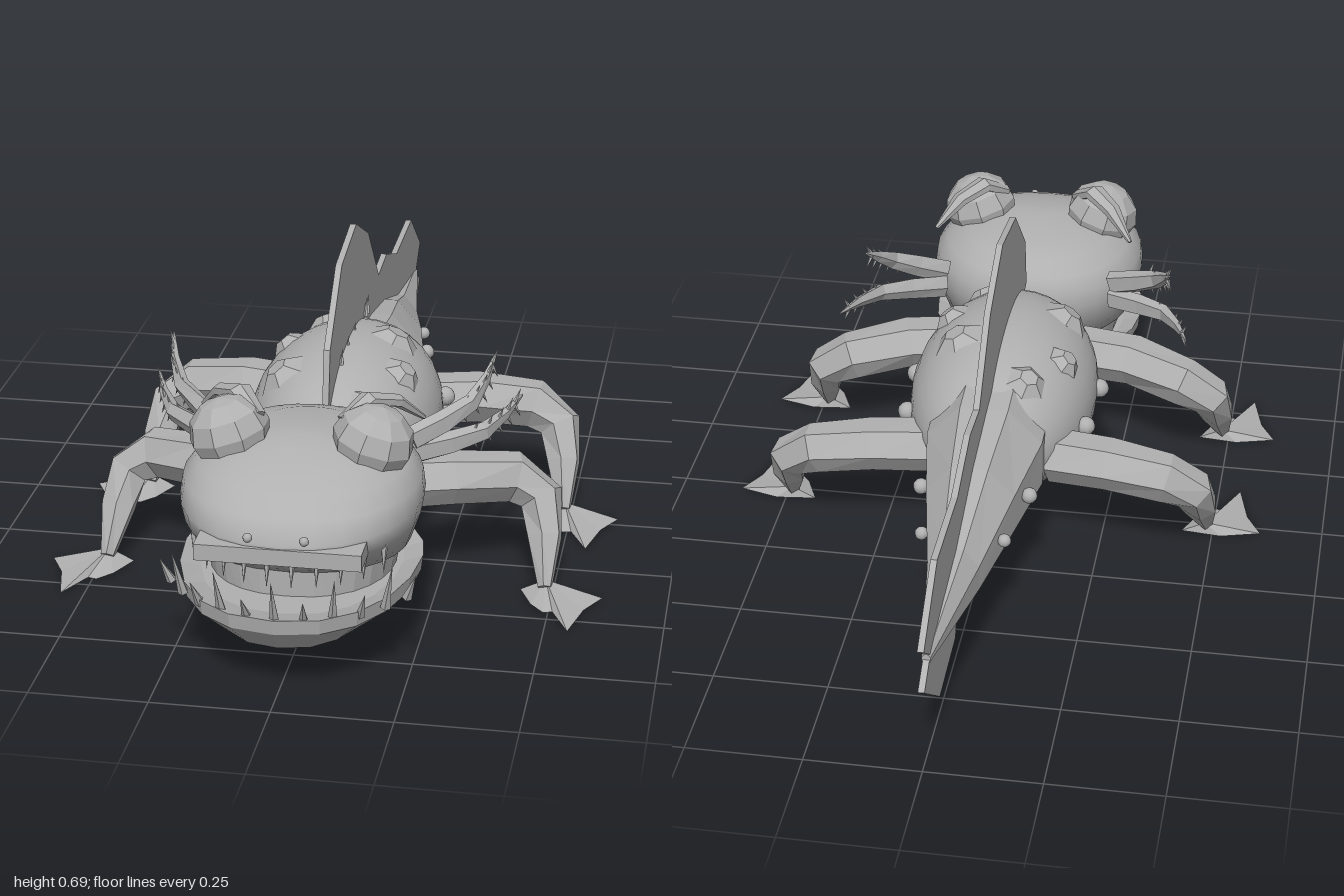
import * as THREE from 'three';

const V = (x, y, z) => new THREE.Vector3(x, y, z);

// Skin a list of rings; flat gives faceted shading
function loft(rings, flat) {
  const n = rings[0].length, pos = [], idx = [];
  const mid = r => r.reduce((s, p) => s.add(p), V(0, 0, 0)).divideScalar(n);
  rings.forEach(r => r.forEach(p => pos.push(p.x, p.y, p.z)));
  for (let i = 0; i < rings.length - 1; i++) for (let j = 0; j < n; j++) {
    const a = i * n + j, b = i * n + (j + 1) % n;
    idx.push(a, b, a + n, b, b + n, a + n);
  }
  const last = (rings.length - 1) * n, c = rings.length * n;
  [mid(rings[0]), mid(rings[rings.length - 1])].forEach(p => pos.push(p.x, p.y, p.z));
  for (let j = 0; j < n; j++) {
    const k = (j + 1) % n;
    idx.push(c, k, j, c + 1, last + j, last + k);
  }
  let g = new THREE.BufferGeometry();
  g.setAttribute('position', new THREE.Float32BufferAttribute(pos, 3));
  g.setIndex(idx);
  if (flat) g = g.toNonIndexed();
  g.computeVertexNormals();
  return g;
}

// Tapered faceted limb along points, radii given as [u, v] pairs
function limb(pts, radii, ref, sides = 6) {
  return loft(pts.map((p, i) => {
    const t = pts[Math.min(i + 1, pts.length - 1)].clone().sub(pts[Math.max(i - 1, 0)]).normalize();
    const u = V(0, 0, 0).crossVectors(t, ref).normalize(), v = V(0, 0, 0).crossVectors(t, u);
    return Array.from({ length: sides }, (_, j) => {
      const a = (j + 0.5) / sides * Math.PI * 2;
      return p.clone().addScaledVector(u, Math.cos(a) * radii[i][0]).addScaledVector(v, Math.sin(a) * radii[i][1]);
    });
  }), true);
}

// Rounded plan outline at height y: half width, front z, back z
function outline([y, w, front, back], n = 28) {
  const mid = 0.62;
  return Array.from({ length: n }, (_, j) => {
    const a = -j / n * Math.PI * 2, c = Math.cos(a), s = Math.sin(a);
    const x = Math.sign(c) * Math.pow(Math.abs(c), 0.85) * w;
    return V(x, y, mid + s * (s > 0 ? front - mid : mid - back));
  });
}

export function createModel() {
  const root = new THREE.Group();
  const skin = new THREE.MeshStandardMaterial({ color: 0xb0b0b0, side: THREE.DoubleSide });
  skin.name = 'grey skin';
  const add = (name, geo) => {
    const m = new THREE.Mesh(geo, skin);
    m.name = name;
    root.add(m);
    return m;
  };
  const faceted = g => {
    g = g.toNonIndexed();
    g.computeVertexNormals();
    return g;
  };
  const spike = (name, base, tip, r) => {
    const d = tip.clone().sub(base), len = d.length();
    const m = add(name, faceted(new THREE.ConeGeometry(r, len, 5)));
    m.position.copy(base).addScaledVector(d, 0.5);
    m.quaternion.setFromUnitVectors(V(0, 1, 0), d.normalize());
  };

  // Trunk: a blunt-ended barrel, and the tail
  const profile = Array.from({ length: 19 }, (_, i) => {
    const a = i / 18 * Math.PI;
    return new THREE.Vector2(Math.pow(Math.max(Math.sin(a), 0), 0.8), -Math.cos(a));
  });
  const body = add('body', new THREE.LatheGeometry(profile, 28).rotateX(Math.PI / 2));
  body.scale.set(0.213, 0.19, 0.315);
  body.position.set(0, 0.268, 0.08);
  add('tail', limb(
    [V(0, 0.27, -0.1), V(0, 0.262, -0.21), V(0, 0.25, -0.4), V(0, 0.225, -0.62), V(0, 0.24, -0.94)],
    [[0.14, 0.15], [0.14, 0.145], [0.105, 0.12], [0.06, 0.075], [0.01, 0.012]], V(0, 1, 0), 8));

  // Dorsal and tail fin, drawn as [z, y]
  const fin = [[0.36, 0.4], [0.34, 0.52], [0.19, 0.66], [0, 0.69], [-0.17, 0.61], [-0.32, 0.455], [-0.44, 0.465],
    [-0.6, 0.41], [-0.84, 0.415], [-1, 0.3], [-0.93, 0.245], [-1, 0.2], [-0.83, 0.065], [-0.64, 0.08],
    [-0.6, 0.17], [-0.3, 0.25], [0.2, 0.35]];
  const finGeo = new THREE.ExtrudeGeometry(new THREE.Shape(fin.map(([z, y]) => new THREE.Vector2(-z, y))),
    { depth: 0.014, bevelEnabled: false });
  add('fin', finGeo.translate(0, 0, -0.007).rotateY(Math.PI / 2));

  // Head, throat and lower jaw
  add('head', loft([[0.225, 0.225, 0.82, 0.4], [0.285, 0.246, 0.9, 0.37], [0.325, 0.253, 0.915, 0.36], [0.365, 0.248, 0.875, 0.365],
    [0.4, 0.222, 0.83, 0.38], [0.428, 0.178, 0.77, 0.42], [0.447, 0.115, 0.71, 0.48], [0.456, 0.04, 0.65, 0.58]].map(r => outline(r))));
  add('throat', loft([[0.14, 0.19, 0.82, 0.4], [0.25, 0.21, 0.82, 0.38]].map(r => outline(r)), true));
  add('lowerJaw', loft([[0.09, 0.13, 0.86, 0.52], [0.1, 0.175, 0.915, 0.5], [0.155, 0.248, 0.965, 0.42],
    [0.188, 0.252, 0.97, 0.39], [0.17, 0.21, 0.9, 0.42]].map(r => outline(r, 20)), true));
  add('snoutLip', faceted(new THREE.BoxGeometry(0.34, 0.035, 0.12))).position.set(0, 0.3, 0.855);

  // Teeth around the front of both jaws
  for (let i = -5; i <= 5; i++) {
    const a = i * 0.2, s = Math.sin(a), c = Math.cos(a);
    spike('lowerTooth', V(s * 0.29, 0.175, 0.62 + c * 0.325), V(s * 0.315, i % 2 ? 0.235 : 0.28, 0.62 + c * 0.362), 0.011);
    if (i < 5) spike('upperTooth', V(Math.sin(a + 0.1) * 0.25, 0.29, 0.62 + Math.cos(a + 0.1) * 0.27),
      V(Math.sin(a + 0.1) * 0.25, 0.225, 0.62 + Math.cos(a + 0.1) * 0.28), 0.009);
  }

  // Low warts on the back: x, z, size
  [[0.1, 0.02, 0.068], [0.14, 0.16, 0.055], [0.085, 0.31, 0.055], [-0.08, -0.11, 0.055], [-0.15, 0.01, 0.05], [-0.13, 0.2, 0.065]]
    .forEach(([x, z, r]) => {
      const h = Math.sqrt(1 - (x / 0.213) ** 2 - Math.pow(Math.abs(z - 0.08) / 0.315, 2.5));
      const m = add('backWart', faceted(new THREE.CylinderGeometry(r * 0.4, r, 0.028, 6)));
      m.position.set(x, 0.268 + 0.19 * h, z);
      m.quaternion.setFromUnitVectors(V(0, 1, 0), V(x / 0.045, h / 0.19, (z - 0.08) / 0.12).normalize());
    });

  // Small spines along the back
  [-0.13, -0.11, 0.05, 0.14, 0.22].forEach(z => spike('backSpine', V(0.01, 0.43, z), V(0.012, 0.475, z - 0.01), 0.007));

  for (const s of [1, -1]) {
    const P = (x, y, z) => V(s * x, y, z);

    // Eyes tilted outward with swept brows, and nostrils
    const eye = add('eye', faceted(new THREE.SphereGeometry(0.087, 9, 6)));
    eye.scale.set(1, 0.9, 0.97);
    eye.rotation.z = -s * 0.3;
    eye.position.copy(P(0.15, 0.45, 0.645));
    add('brow', limb([P(0.09, 0.49, 0.65), P(0.135, 0.525, 0.605), P(0.185, 0.505, 0.555), P(0.235, 0.45, 0.505)],
      [[0.02, 0.014], [0.028, 0.016], [0.022, 0.014], [0.005, 0.005]], V(0, 1, 0)));
    add('nostril', new THREE.SphereGeometry(0.01, 8, 6)).position.copy(P(0.057, 0.345, 0.925));

    // Side nodules
    [[0.215, 0.27, 0.12, 0.022], [0.205, 0.27, -0.05, 0.022], [0.12, 0.26, -0.34, 0.018], [0.09, 0.245, -0.5, 0.015]]
      .forEach(([x, y, z, r]) => add('sideNodule', new THREE.SphereGeometry(r, 10, 8)).position.copy(P(x, y, z)));

    // Curved gill fronds with hairs
    [[P(0.2, 0.37, 0.44), P(0.315, 0.43, 0.365), P(0.355, 0.505, 0.25)],
      [P(0.2, 0.335, 0.43), P(0.34, 0.355, 0.34), P(0.405, 0.38, 0.18)]].forEach(k => {
      const curve = new THREE.CatmullRomCurve3(k);
      add('gillFrond', limb(curve.getPoints(4), [[0.016, 0.03], [0.018, 0.028], [0.016, 0.022], [0.01, 0.014], [0.002, 0.003]], V(0, 1, 0), 5));
      for (let i = 0; i < 5; i++) {
        const p = curve.getPoint(0.4 + i * 0.12);
        for (const d of [1, -1]) spike('gillHair', p, p.clone().add(P(0.014, d * 0.034, -0.012)), 0.006);
      }
    });

    // Legs: z of each joint, ending at the ankle
    for (const [name, zs] of [['frontLeg', [0.35, 0.32, 0.26, 0.27, 0.32, 0.39]], ['hindLeg', [-0.12, -0.145, -0.16, -0.14, -0.09, -0.02]]]) {
      const xy = [[0.14, 0.23], [0.27, 0.235], [0.4, 0.22], [0.461, 0.18], [0.475, 0.11], [0.485, 0.02]];
      add(name, limb(xy.map(([x, y], i) => P(x, y, zs[i])),
        [[0.06, 0.065], [0.058, 0.064], [0.058, 0.052], [0.05, 0.046], [0.04, 0.038], [0.016, 0.022]], V(0, 0, 1)));

      // Webbed foot fanning from the ankle
      const z = zs[5], apex = P(0.485, 0.03, z - 0.02), pos = [];
      const rim = [[0.43, -0.02], [0.46, 0.05], [0.49, 0.085], [0.51, 0.08], [0.55, 0.165], [0.575, 0.06], [0.61, -0.005], [0.52, -0.03]];
      rim.forEach(([x, dz], i) => {
        const [x2, dz2] = rim[(i + 1) % rim.length];
        const tri = [apex, P(x, 0.003, z + dz), P(x2, 0.003, z + dz2)];
        const under = [P(0.485, 0, z), tri[2], tri[1]];
        for (const t of [tri, under]) (s > 0 ? t : [t[0], t[2], t[1]]).forEach(p => pos.push(p.x, p.y, p.z));
      });
      const g = new THREE.BufferGeometry();
      g.setAttribute('position', new THREE.Float32BufferAttribute(pos, 3));
      g.computeVertexNormals();
      add('webbedFoot', g);
    }
  }
  return root;
}
